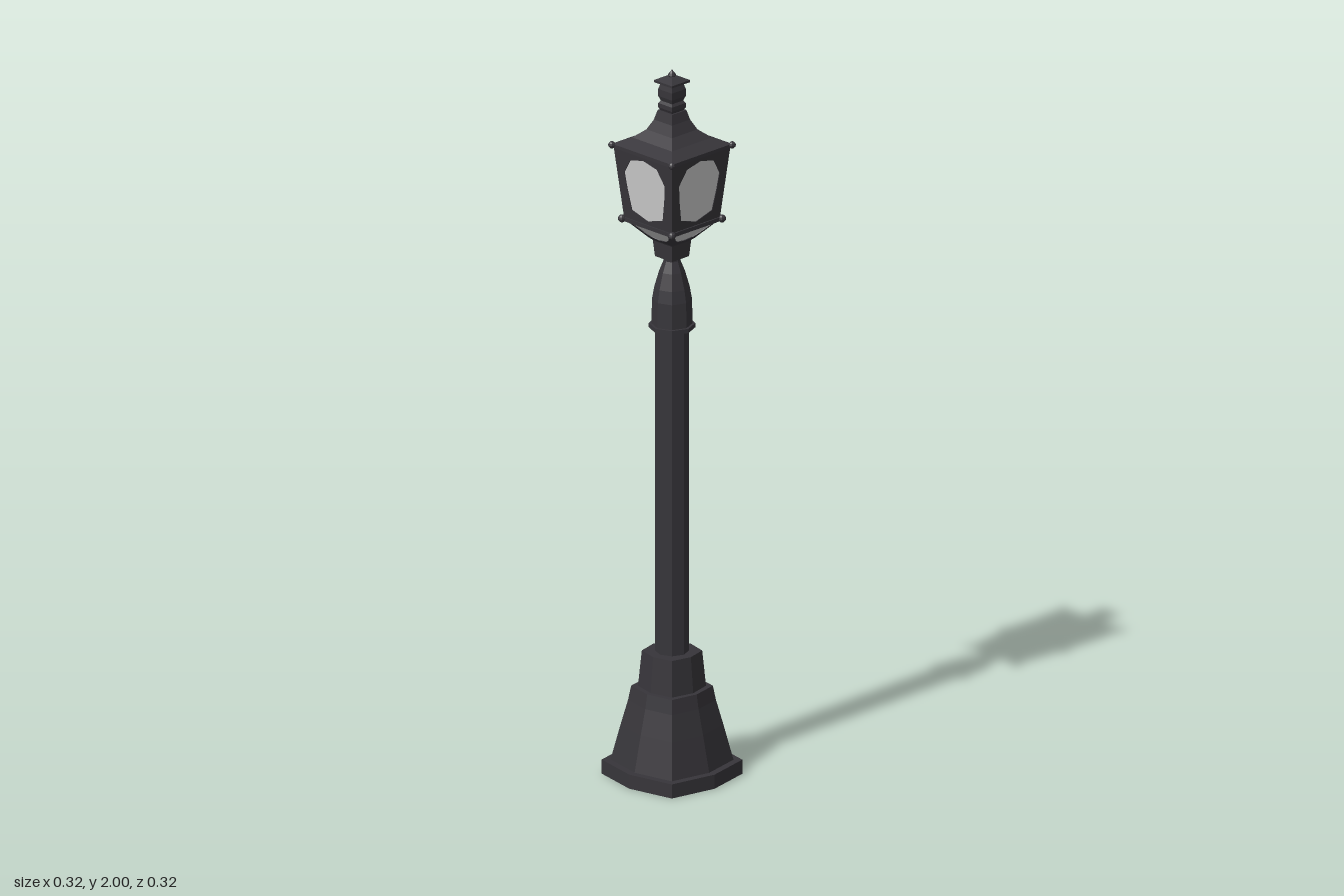
import * as THREE from 'three';

const iron = new THREE.MeshStandardMaterial({ color: 0x37353a, flatShading: true });
const glass = new THREE.MeshStandardMaterial({ color: 0xcccccc, side: THREE.DoubleSide });

function add(parent, name, geometry, material = iron) {
  const mesh = new THREE.Mesh(geometry, material);
  mesh.name = name;
  parent.add(mesh);
  return mesh;
}

// Eight-sided turning with corners on the axes; diagonal corners pushed out by a factor.
function octagon(profile, diagonal = 1) {
  const geo = new THREE.LatheGeometry(profile.map(p => new THREE.Vector2(...p)), 8);
  const pos = geo.attributes.position;
  for (let i = 0; i < pos.count; i++) {
    const k = Math.floor(i / profile.length) % 2 ? diagonal : 1;
    pos.setXYZ(i, pos.getX(i) * k, pos.getY(i), pos.getZ(i) * k);
  }
  geo.computeVertexNormals();
  return geo;
}

// Square turning; profile gives [half width, height].
function square(profile) {
  const points = profile.map(([w, y]) => new THREE.Vector2(w * Math.SQRT2, y));
  return new THREE.LatheGeometry(points, 4, Math.PI / 4);
}

// Sloping framed pane repeated on all four sides.
function framedSides(parent, name, [w0, y0], [w1, y1], opening) {
  const stretch = Math.hypot(w1 - w0, y1 - y0) / (y1 - y0);
  const toPlane = ([x, y]) => new THREE.Vector2(x, (y - y0) * stretch);
  const frame = new THREE.Shape([[-w0, y0], [w0, y0], [w1, y1], [-w1, y1]].map(toPlane));
  const hole = opening.map(toPlane);
  frame.holes.push(new THREE.Path(hole));
  const depth = 0.006;
  const frameGeo = new THREE.ExtrudeGeometry(frame, { depth, bevelEnabled: false });
  frameGeo.translate(0, 0, -depth);
  const paneGeo = new THREE.ShapeGeometry(new THREE.Shape(hole)).translate(0, 0, -depth / 3);
  for (const geo of [frameGeo, paneGeo]) {
    geo.rotateX(Math.atan2(w1 - w0, y1 - y0)).translate(0, y0, w0);
  }
  for (let i = 0; i < 4; i++) {
    const side = new THREE.Group();
    side.name = name + 'Side';
    side.rotation.y = i * Math.PI / 2;
    add(side, name + 'Frame', frameGeo);
    add(side, name + 'Pane', paneGeo, glass);
    parent.add(side);
  }
}

// Mirrors a right half outline, bottom to top, about x = 0.
const mirrored = half => [...half, ...half.filter(p => p[0] > 0).reverse().map(([x, y]) => [-x, y])];

function cornerKnobs(parent, name, offset, y, radius) {
  for (const x of [-offset, offset]) {
    for (const z of [-offset, offset]) {
      add(parent, name, new THREE.SphereGeometry(radius, 8, 6)).position.set(x, y, z);
    }
  }
}

export function createModel() {
  const model = new THREE.Group();
  model.name = 'streetLamp';

  // Stepped foot
  add(model, 'plinth', octagon([[0, 0], [0.16, 0], [0.16, 0.04], [0, 0.04]], 1.167));
  add(model, 'foot', octagon([[0.14, 0.04], [0.117, 0.14], [0.1, 0.21], [0.093, 0.25], [0, 0.25]], 1.167));
  add(model, 'footCollar', octagon([[0.08, 0.25], [0.071, 0.35], [0, 0.35]], 1.13));

  // Post and bell-shaped neck
  add(model, 'post', octagon([[0.045, 0.35], [0.045, 1.28]]));
  add(model, 'postRing', octagon([[0.04, 1.268], [0.062, 1.268], [0.062, 1.28], [0.04, 1.28]]));
  add(model, 'postBell', octagon([[0.055, 1.28], [0.053, 1.35], [0.047, 1.385],
    [0.034, 1.43], [0.022, 1.46], [0.022, 1.475]]));

  // Lantern cradle with sloping lower panes
  const lantern = new THREE.Group();
  lantern.name = 'lantern';
  model.add(lantern);
  add(lantern, 'cradle', square([[0, 1.47], [0.032, 1.47], [0.036, 1.515], [0.042, 1.525], [0, 1.525]]));
  framedSides(lantern, 'lower', [0.041, 1.52], [0.09, 1.575],
    mirrored([[0, 1.526], [0.028, 1.53], [0.046, 1.541], [0.074, 1.569]]));
  add(lantern, 'lowerRim', square([[0, 1.571], [0.094, 1.571], [0.094, 1.582], [0, 1.582]]));
  cornerKnobs(lantern, 'lowerKnob', 0.094, 1.577, 0.011);

  // Main panes
  framedSides(lantern, 'main', [0.09, 1.58], [0.11, 1.785],
    mirrored([[0, 1.592], [0.058, 1.61], [0.07, 1.67], [0.076, 1.715], [0.05, 1.757], [0, 1.769]]));

  // Roof, chimney and finial
  add(lantern, 'roof', square([[0, 1.779], [0.113, 1.779], [0.113, 1.789], [0.075, 1.807],
    [0.048, 1.83], [0.034, 1.858], [0.027, 1.885], [0, 1.885]]));
  cornerKnobs(lantern, 'roofKnob', 0.113, 1.786, 0.01);
  add(lantern, 'chimney', square([[0.02, 1.88], [0.026, 1.893], [0.026, 1.905], [0.021, 1.912],
    [0.026, 1.925], [0.026, 1.945], [0.02, 1.966]]));
  add(lantern, 'chimneyCap', square([[0, 1.96], [0.034, 1.964], [0.034, 1.97], [0.012, 1.981], [0, 1.983]]));
  add(lantern, 'finial', new THREE.LatheGeometry([[0.007, 1.978], [0.011, 1.984], [0.008, 1.991], [0, 2]]
    .map(p => new THREE.Vector2(...p)), 8));

  return model;
}
